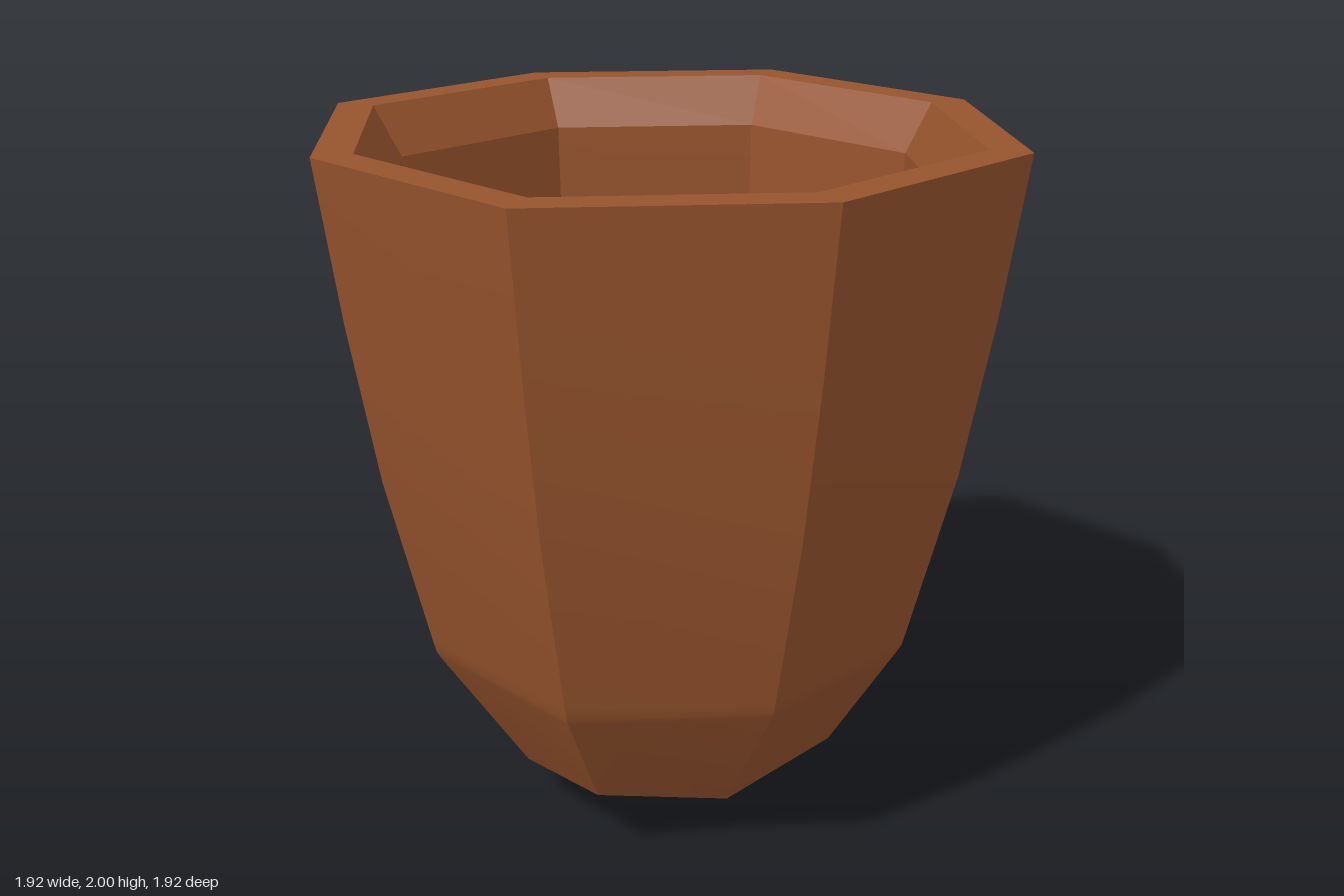
import * as THREE from 'three';
import { toCreasedNormals } from 'three/addons/utils/BufferGeometryUtils.js';

const SIDES = 8;

// Ring of eight points: four on the axes, four on the diagonals.
// Each has its own height, so the bottoms can be cupped.
const ring = (axis, y, corner = axis * 0.73, cornerY = y) => ({ axis, y, corner, cornerY });

// Skin a stack of rings from the outer bottom, over the rim, to the inner floor.
function shell(rings, bottomY, floorY) {
  const positions = [];
  const index = [];
  for (const r of rings) {
    for (let k = 0; k < SIDES; k++) {
      const a = (k * Math.PI) / 4;
      const diagonal = k % 2 === 1;
      const radius = diagonal ? r.corner * Math.SQRT2 : r.axis;
      positions.push(radius * Math.cos(a), diagonal ? r.cornerY : r.y, radius * Math.sin(a));
    }
  }
  const quad = (a, b, c, d) => index.push(a, b, c, a, c, d);

  // Walls
  for (let i = 0; i < rings.length - 1; i++) {
    for (let k = 0; k < SIDES; k++) {
      const n = (k + 1) % SIDES;
      const lo = i * SIDES;
      const hi = lo + SIDES;
      quad(lo + k, hi + k, hi + n, lo + n);
    }
  }

  // Four-panelled caps: underside and inner floor
  const bottom = positions.length / 3;
  const floor = bottom + 1;
  positions.push(0, bottomY, 0, 0, floorY, 0);
  const last = (rings.length - 1) * SIDES;
  for (let k = 0; k < SIDES; k += 2) {
    const n = (k + 2) % SIDES;
    quad(bottom, k, k + 1, n);
    quad(floor, last + n, last + k + 1, last + k);
  }

  const geometry = new THREE.BufferGeometry();
  geometry.setAttribute('position', new THREE.Float32BufferAttribute(positions, 3));
  geometry.setIndex(index);
  return toCreasedNormals(geometry, 0.38);
}

export function createModel() {
  const group = new THREE.Group();
  group.name = 'cup';

  const rings = [
    // Outside, going up
    ring(0.44, 0.15, 0.37, 0.22),
    ring(0.695, 0.55),
    ring(0.705, 0.57),
    ring(0.715, 0.61),
    ring(0.83, 1.11),
    ring(0.903, 1.56),
    ring(0.96, 2),
    // Rim and inside, going down
    ring(0.85, 2),
    ring(0.77, 1.86),
    ring(0.755, 1.5),
    ring(0.74, 1.05),
    ring(0.69, 0.74),
    ring(0.49, 0.42, 0.4, 0.48),
  ];

  const clay = new THREE.MeshStandardMaterial({ color: 0x96532d });
  const body = new THREE.Mesh(shell(rings, 0, 0.28), clay);
  body.name = 'cupBody';
  group.add(body);
  return group;
}
